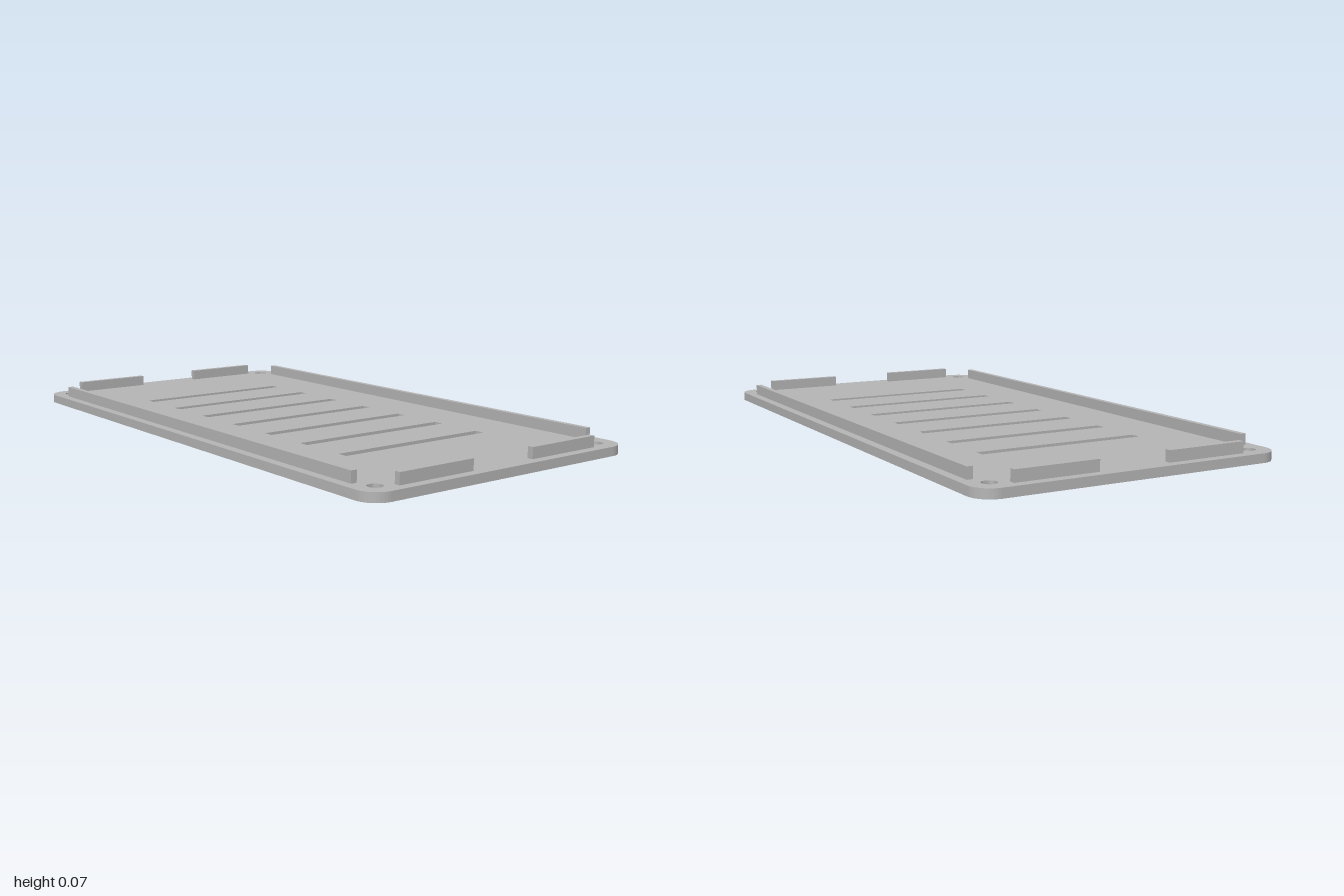
import * as THREE from 'three';
import { toCreasedNormals } from 'three/addons/utils/BufferGeometryUtils.js';

const W = 1, D = 0.527, T = 0.03;         // half width, half depth, plate thickness
const R = 0.07;                           // corner radius, holes are concentric with it
const HOLE = 0.0235, BORE = 0.037, BORE_DEPTH = 0.015;

const circle = (x, y, r) => new THREE.Path().absarc(x, y, r, 0, Math.PI * 2, true);

// Extrudes a plan shape upwards, with smooth curves and sharp edges
function extrudeUp(shape, height) {
  const geo = new THREE.ExtrudeGeometry(shape, { depth: height, bevelEnabled: false, curveSegments: 24 });
  geo.rotateX(-Math.PI / 2);
  return toCreasedNormals(geo, 0.6);
}

export function createModel() {
  const model = new THREE.Group();
  model.name = 'ventedCover';
  const grey = new THREE.MeshStandardMaterial({ color: 0xb6b6b6 });
  grey.name = 'grey';

  const add = (name, geo, x, y, z) => {
    const mesh = new THREE.Mesh(geo, grey);
    mesh.name = name;
    mesh.position.set(x, y, z);
    model.add(mesh);
  };

  const corners = [[1, 1], [-1, 1], [-1, -1], [1, -1]];

  // Plate outline with rounded corners
  const plate = new THREE.Shape();
  corners.forEach(([sx, sy], i) => {
    plate.absarc(sx * (W - R), sy * (D - R), R, i * Math.PI / 2, (i + 1) * Math.PI / 2, false);
  });
  plate.closePath();

  // Seven vent slots
  const sw = 0.0185, sl = 0.292;
  for (let i = -3; i <= 3; i++) {
    const x = i * 0.1945;
    plate.holes.push(new THREE.Path([
      new THREE.Vector2(x - sw, -sl), new THREE.Vector2(x - sw, sl),
      new THREE.Vector2(x + sw, sl), new THREE.Vector2(x + sw, -sl),
    ]));
  }

  // Screw holes, counterbored from below
  for (const [sx, sy] of corners) plate.holes.push(circle(sx * (W - R), sy * (D - R), BORE));
  add('plate', extrudeUp(plate, T), 0, 0, 0);

  const ring = new THREE.Shape().absarc(0, 0, BORE, 0, Math.PI * 2, false);
  ring.holes.push(circle(0, 0, HOLE));
  const collar = extrudeUp(ring, T - BORE_DEPTH);
  for (const [sx, sz] of corners) add('screwHoleCollar', collar, sx * (W - R), BORE_DEPTH, sz * (D - R));

  // Locating ribs along the edges
  const ribH = 0.037, ribY = T + ribH / 2;
  const longRib = new THREE.BoxGeometry(1.75, ribH, 0.02);
  const sideRib = new THREE.BoxGeometry(0.02, ribH, 0.28);
  for (const s of [1, -1]) add('longRib', longRib, 0, ribY, s * 0.486);
  for (const [sx, sz] of corners) add('sideRib', sideRib, sx * 0.958, ribY, sz * 0.263);

  return model;
}
